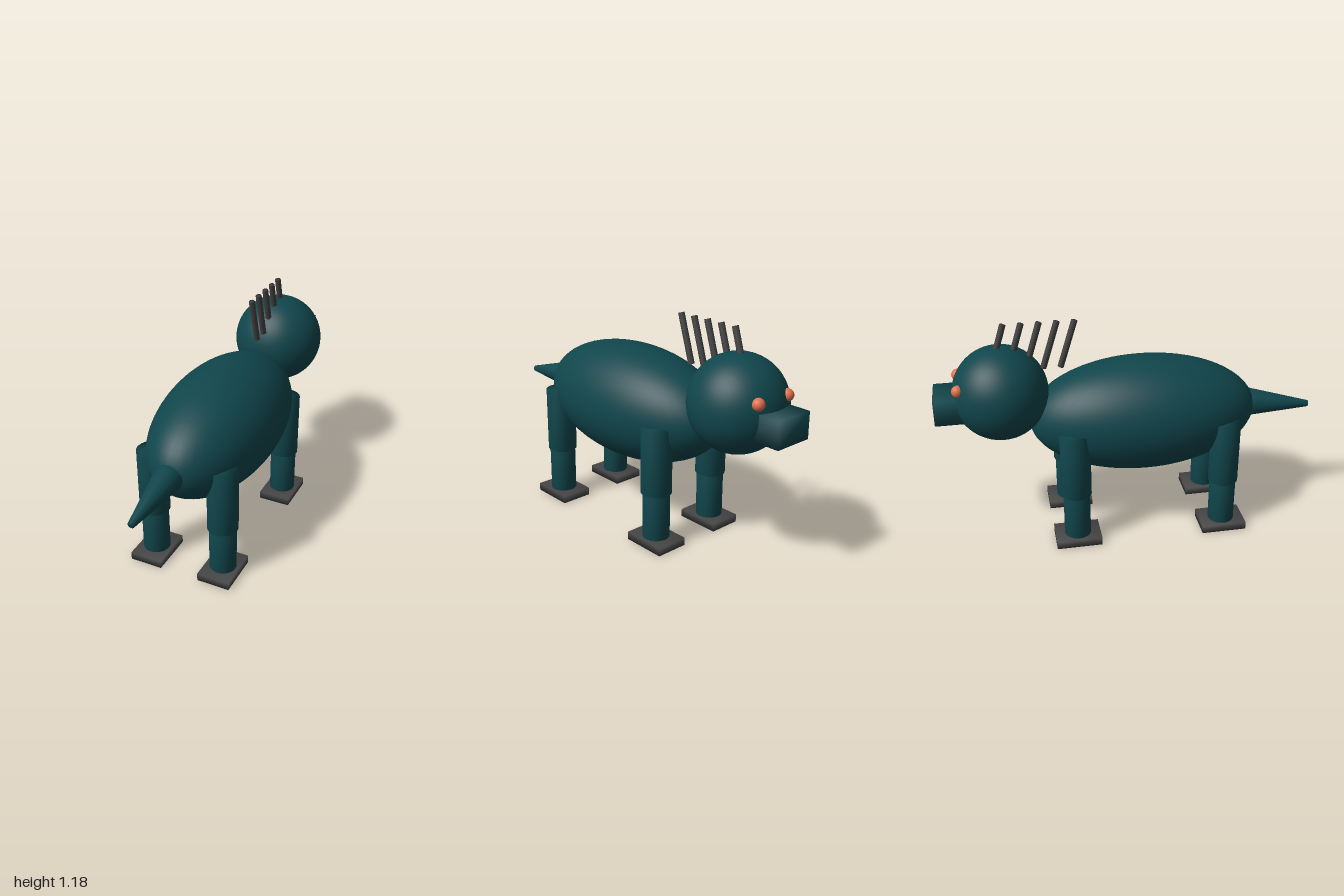
import * as THREE from 'three';
import { mergeVertices } from 'three/addons/utils/BufferGeometryUtils.js';

// Weld corners so every part has soft, continuous normals
function soften(geometry) {
  geometry.deleteAttribute('normal');
  geometry.deleteAttribute('uv');
  const welded = mergeVertices(geometry, 1e-5);
  welded.computeVertexNormals();
  return welded;
}

export function createModel() {
  const hide = new THREE.MeshStandardMaterial({ name: 'teal hide', color: 0x10464c });
  const dark = new THREE.MeshStandardMaterial({ name: 'charcoal', color: 0x444444 });
  const eyeColour = new THREE.MeshStandardMaterial({ name: 'coral', color: 0xe0704c });

  const model = new THREE.Group();
  model.name = 'animal';

  function add(name, geometry, material, x, y, z, parent = model) {
    const mesh = new THREE.Mesh(soften(geometry), material);
    mesh.name = name;
    mesh.position.set(x, y, z);
    parent.add(mesh);
    return mesh;
  }

  // Tapered rod running from point a to point b
  function rod(name, a, b, ra, rb, material, parent = model) {
    const from = new THREE.Vector3(...a);
    const to = new THREE.Vector3(...b);
    const axis = to.clone().sub(from);
    const mid = from.add(to).multiplyScalar(0.5);
    const geometry = new THREE.CylinderGeometry(rb, ra, axis.length(), 32);
    const mesh = add(name, geometry, material, mid.x, mid.y, mid.z, parent);
    mesh.quaternion.setFromUnitVectors(new THREE.Vector3(0, 1, 0), axis.normalize());
    return mesh;
  }

  // Body and head; the animal looks towards -z
  const bodyShape = new THREE.SphereGeometry(1, 48, 32).scale(0.305, 0.304, 0.602);
  add('body', bodyShape, hide, 0, 0.637, 0.075);
  add('head', new THREE.SphereGeometry(0.244, 48, 32), hide, 0, 0.811, -0.664);
  add('snout', new THREE.BoxGeometry(0.21, 0.136, 0.24), hide, 0, 0.768, -0.88);
  for (const side of [-1, 1]) {
    add('eye', new THREE.SphereGeometry(0.031, 20, 14), eyeColour, side * 0.1, 0.88, -0.873);
  }

  // Tail
  rod('tail', [0, 0.637, 0.655], [0, 0.594, 0.998], 0.075, 0.017, hide);

  // Mane spikes, leaning back in a row
  for (let i = 0; i < 5; i++) {
    const z = -0.0883 * i;
    rod('maneSpike', [0, 0.928, z - 0.353], [0, 1.173, z - 0.276], 0.016, 0.016, dark);
  }

  // Legs
  for (const [name, z] of [['frontLeg', -0.315], ['backLeg', 0.476]]) {
    for (const side of [-1, 1]) {
      const leg = new THREE.Group();
      leg.name = name;
      leg.position.set(side * 0.194, 0, z);
      model.add(leg);
      rod('upperLeg', [0, 0.286, 0], [0, 0.637, 0], 0.079, 0.079, hide, leg);
      rod('lowerLeg', [0, 0.02, 0], [0, 0.32, 0], 0.07, 0.07, hide, leg);
      add('foot', new THREE.BoxGeometry(0.175, 0.042, 0.24), dark, 0, 0.021, 0, leg);
    }
  }

  return model;
}
